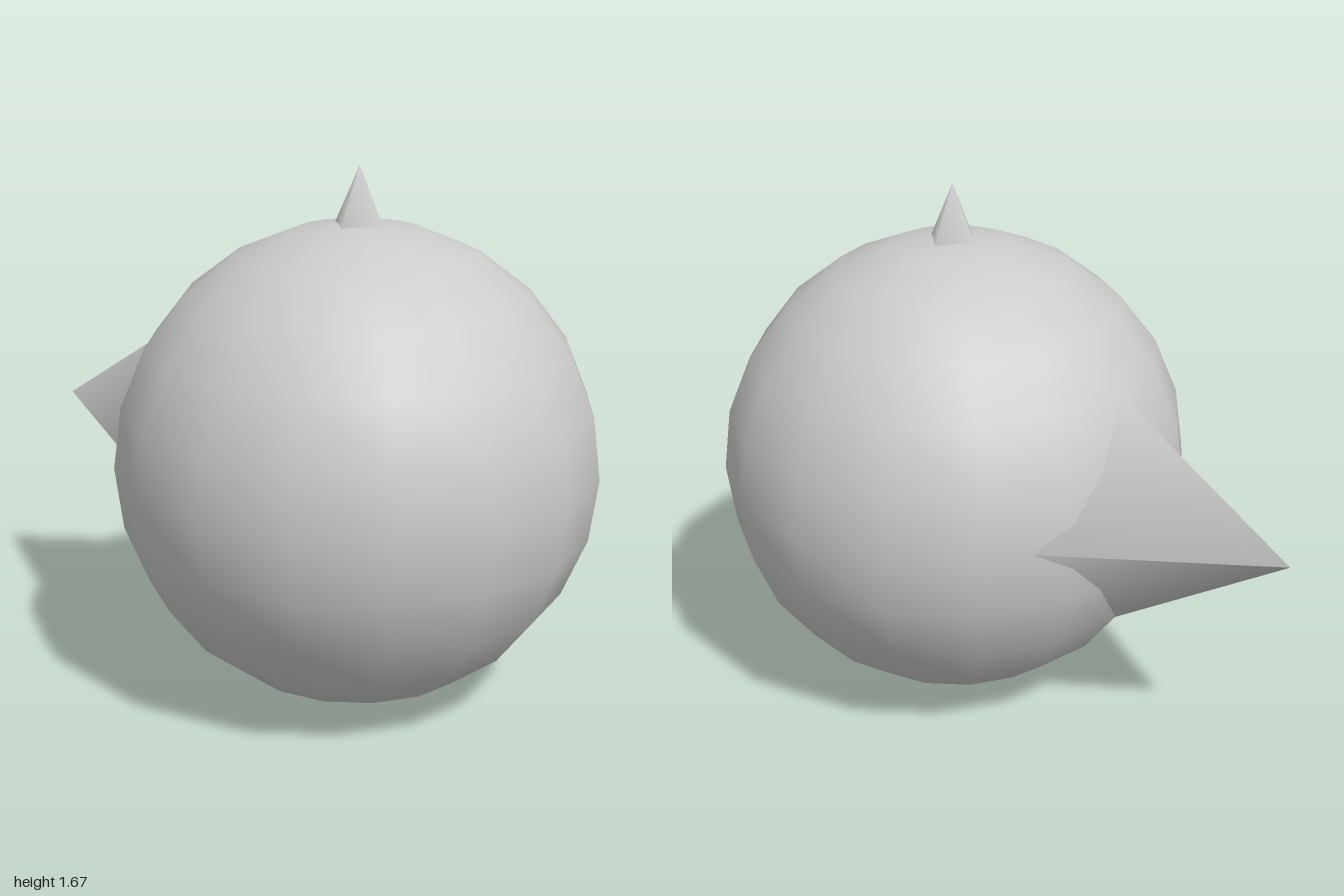
import * as THREE from 'three';

const RADIUS = 0.75;
const CENTRE = new THREE.Vector3(0.25, RADIUS, 0);

export function createModel() {
  const model = new THREE.Group();
  model.name = 'model';
  const material = new THREE.MeshStandardMaterial({ color: 0xcccccc });

  // Smooth-shaded round body
  const body = new THREE.Mesh(new THREE.SphereGeometry(RADIUS, 16, 12), material);
  body.name = 'body';
  body.position.copy(CENTRE);
  model.add(body);

  // Four-sided cone placed by its tip, its base sunk into the body
  function addSpike(name, tip, slope, height, tilt) {
    const geometry = new THREE.ConeGeometry(slope * height, height, 4);
    geometry.translate(0, -height / 2, 0);
    const spike = new THREE.Mesh(geometry, material);
    spike.name = name;
    spike.position.set(...tip);
    spike.rotation.z = tilt;
    model.add(spike);
  }

  // Large beak pointing sideways, small spike on the crown
  addSpike('beak', [-1, CENTRE.y, 0], 0.63, 0.75, Math.PI / 2);
  addSpike('topSpike', [CENTRE.x, 1.667, 0], 0.5, 0.2, 0);

  return model;
}
